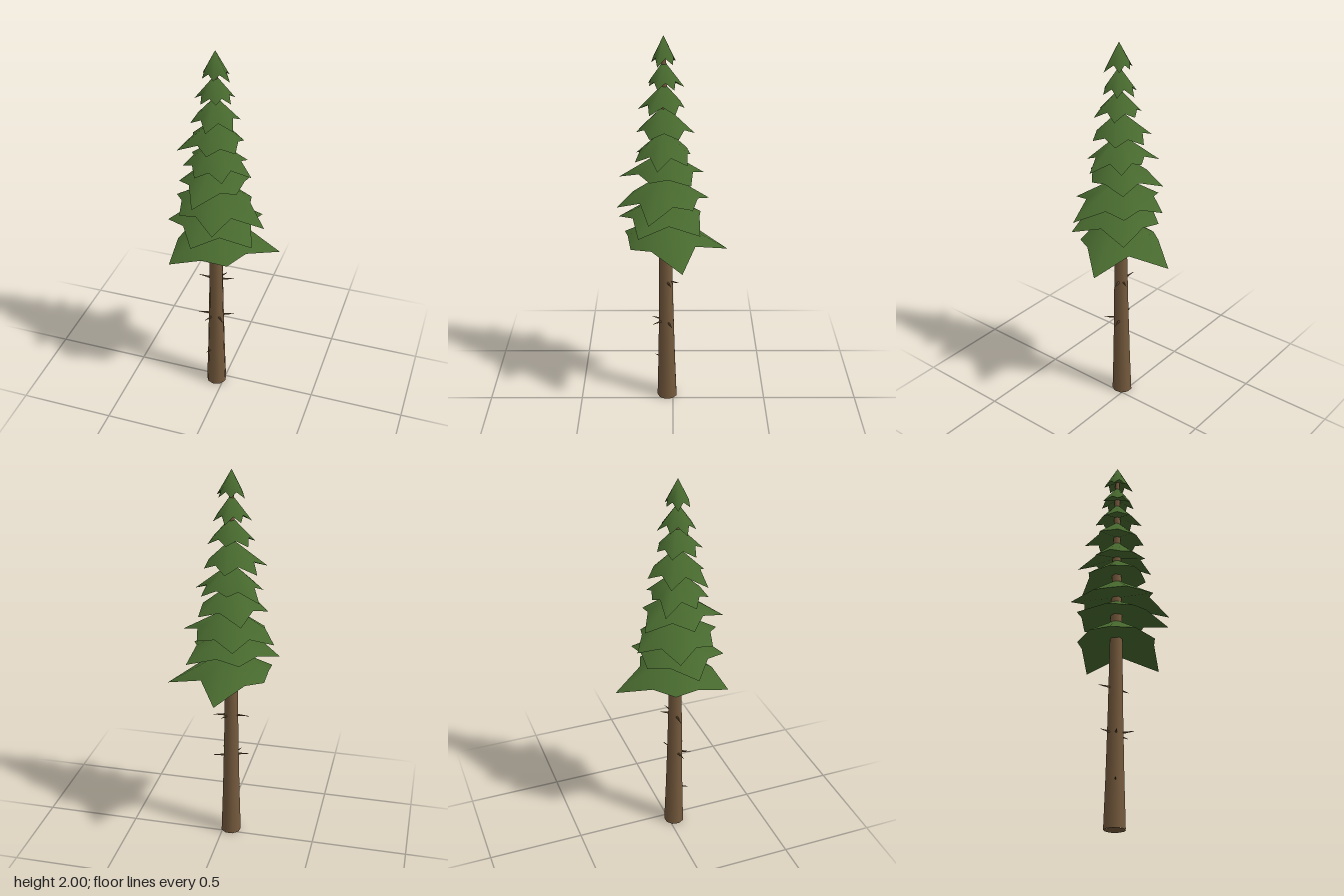
import * as THREE from 'three';

const bark = new THREE.MeshStandardMaterial({ color: 0x755a3d });
bark.name = 'bark brown';
const needles = new THREE.MeshStandardMaterial({ color: 0x47692e });
needles.name = 'needle green';

// centre line of the slightly leaning trunk
const axisX = (y) => -0.042 + 0.0035 * y;
const axisZ = (y) => 0.031 + 0.007 * y;

// star-shaped skirt of boughs: a pointed top and a shallow hollow underside
function makeTier({ apex, rim, start, tips }) {
  const n = tips.length;
  const mean = tips.reduce((a, b) => a + b, 0) / n;
  const cx = axisX(apex), cz = axisZ(apex);
  const ring = [];
  for (let i = 0; i < n * 2; i++) {
    const a = THREE.MathUtils.degToRad(start) + (i * Math.PI) / n;
    const isTip = i % 2 === 0;
    const r = isTip ? tips[i / 2] : mean * 0.73;
    const y = isTip ? rim - (r - mean) * 0.35 : rim + 0.025 + mean * 0.06;
    ring.push([cx + Math.cos(a) * r, y, cz + Math.sin(a) * r]);
  }
  const side = (centreY, up) => {
    const pos = [cx, centreY, cz, ...ring.flat()];
    const idx = [];
    for (let i = 0; i < ring.length; i++) {
      const a = 1 + i, b = 1 + ((i + 1) % ring.length);
      idx.push(0, ...(up ? [b, a] : [a, b]));
    }
    const g = new THREE.BufferGeometry();
    g.setAttribute('position', new THREE.Float32BufferAttribute(pos, 3));
    g.setIndex(idx);
    g.computeVertexNormals();
    return g;
  };
  const tier = new THREE.Group();
  const top = new THREE.Mesh(side(apex, true), needles);
  top.name = 'boughTop';
  const under = new THREE.Mesh(side(rim + 0.035 + mean * 0.09, false), needles);
  under.name = 'boughUnderside';
  tier.add(top, under);
  return tier;
}

// thin tapering dead twig from the trunk centre to a tip
function makeTwig(y, x, z) {
  const from = new THREE.Vector3(axisX(y), y, axisZ(y));
  const dir = new THREE.Vector3(x, y + 0.003, z).sub(from);
  const len = dir.length();
  const g = new THREE.CylinderGeometry(0.001, 0.009, len, 5);
  g.translate(0, len / 2, 0);
  const twig = new THREE.Mesh(g, bark);
  twig.position.copy(from);
  twig.quaternion.setFromUnitVectors(new THREE.Vector3(0, 1, 0), dir.normalize());
  twig.name = 'twig';
  return twig;
}

export function createModel() {
  const tree = new THREE.Group();
  tree.name = 'pineTree';

  // trunk, flared at the foot, following the lean
  const profile = [[0, 0], [0.054, 0], [0.046, 0.25], [0.039, 0.55], [0.033, 0.93], [0.023, 1.4], [0.012, 1.9], [0, 1.92]];
  const parts = [
    new THREE.LatheGeometry(profile.slice(1).map(([r, y]) => new THREE.Vector2(r, y)), 9),
    new THREE.CircleGeometry(0.054, 9).rotateX(Math.PI / 2),
  ];
  parts.forEach((g, i) => {
    const p = g.attributes.position;
    for (let k = 0; k < p.count; k++) {
      const y = p.getY(k);
      p.setX(k, p.getX(k) + axisX(y));
      p.setZ(k, p.getZ(k) + axisZ(y));
    }
    const mesh = new THREE.Mesh(g, bark);
    mesh.name = i ? 'trunkBase' : 'trunk';
    tree.add(mesh);
  });

  // dead twigs on the bare trunk
  const twigs = [
    [0.23, -0.078, 0.096],
    [0.465, 0.05, 0.005], [0.47, -0.135, 0.05], [0.47, 0.02, 0.105], [0.465, -0.08, 0.11],
    [0.705, 0.05, 0.01], [0.705, -0.135, 0.03], [0.705, 0.0, -0.03],
  ];
  twigs.forEach((t) => tree.add(makeTwig(...t)));

  // bough tiers from bottom to top: start angle and tip lengths around the trunk
  const tiers = [
    { apex: 1.08, rim: 0.915, start: -87, tips: [0.32, 0.327, 0.21, 0.28, 0.2] },
    { apex: 1.19, rim: 1.05, start: -42, tips: [0.26, 0.264, 0.245, 0.25, 0.2] },
    { apex: 1.31, rim: 1.15, start: 16, tips: [0.285, 0.25, 0.2, 0.243, 0.232, 0.2] },
    { apex: 1.43, rim: 1.285, start: -43, tips: [0.19, 0.15, 0.235, 0.185, 0.22] },
    { apex: 1.54, rim: 1.39, start: 10, tips: [0.195, 0.165, 0.155, 0.16, 0.205, 0.13, 0.17] },
    { apex: 1.66, rim: 1.515, start: -90, tips: [0.15, 0.14, 0.14, 0.14, 0.19, 0.17] },
    { apex: 1.77, rim: 1.64, start: 33, tips: [0.13, 0.13, 0.12, 0.115, 0.1, 0.12] },
    { apex: 1.88, rim: 1.755, start: -84, tips: [0.1, 0.095, 0.09, 0.075, 0.09, 0.1, 0.085] },
    { apex: 2.0, rim: 1.87, start: 20, tips: [0.085, 0.06, 0.065, 0.075, 0.06, 0.07] },
  ];
  tiers.forEach((t, i) => {
    const tier = makeTier(t);
    tier.name = `boughTier${i + 1}`;
    tree.add(tier);
  });
  return tree;
}
